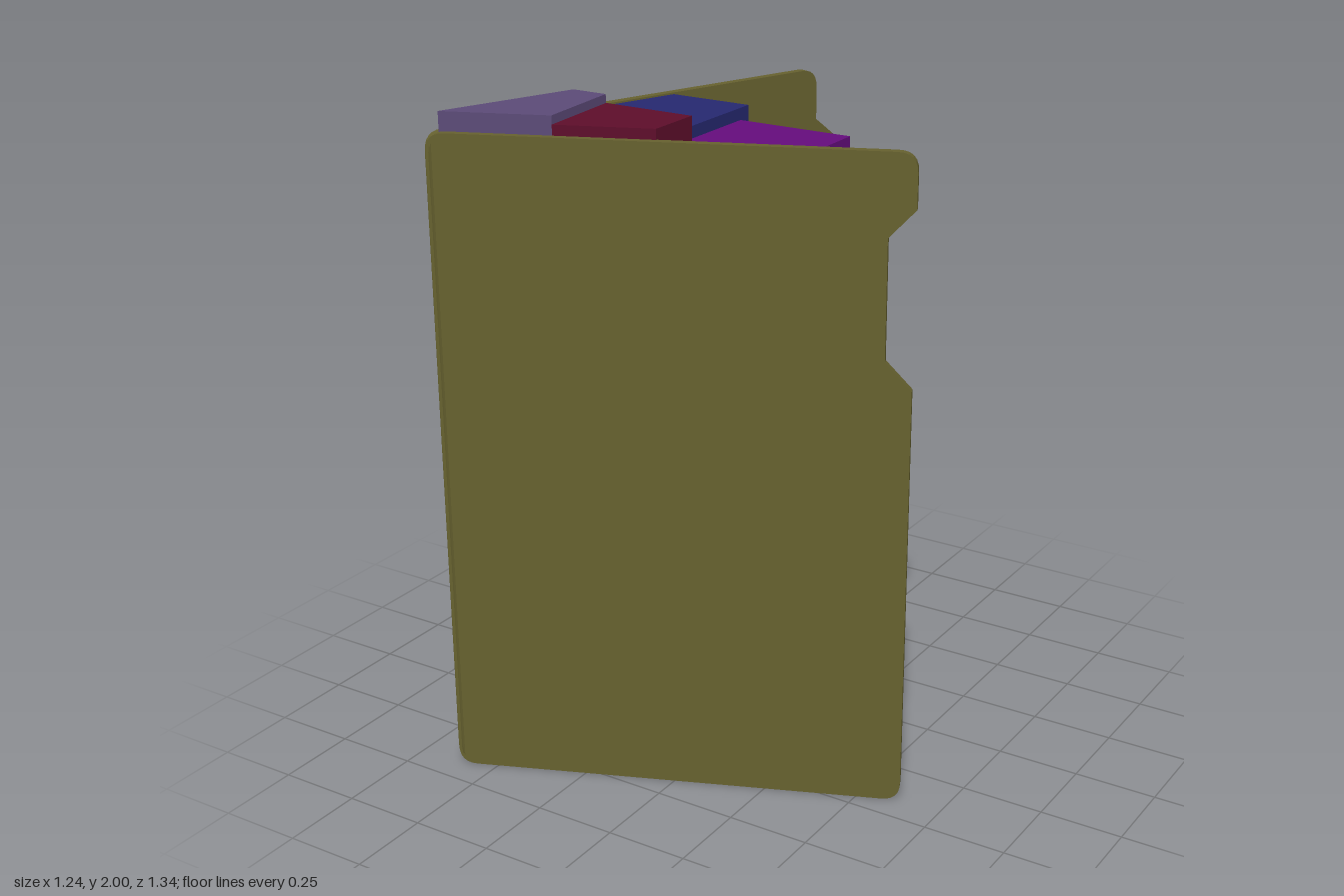
import * as THREE from 'three';

const OLIVE = 0x66612f, BLUE = 0x262870, PURPLE = 0x650d7d, RED = 0x5e0e2b, MAUVE = 0x5c4b78;
const THICK = 0.025, HEIGHT = 1.945;

// Outer line of each cover in plan: hinge end and free end as [x, z]
const frontLine = { a: [-0.61, 0.67], b: [0.62, 0.16] };
const backLine = { a: [-0.62, 0.66], b: [-0.10, -0.672] };
for (const l of [frontLine, backLine]) {
  const dx = l.b[0] - l.a[0], dz = l.b[1] - l.a[1];
  l.length = Math.hypot(dx, dz);
  l.angle = Math.atan2(-dz, dx);
}

const materials = {};
const mat = (color) => (materials[color] ??= new THREE.MeshStandardMaterial({ color, flatShading: true }));

// Cover outline: rounded board whose free edge steps by `step` between the chamfers
function coverShape(width, step, r = 0.055) {
  const s = new THREE.Shape();
  s.moveTo(r, 0);
  s.lineTo(width - r, 0);
  s.quadraticCurveTo(width, 0, width, r);
  s.lineTo(width, 1.28);
  s.lineTo(width + step, 1.36);
  s.lineTo(width + step, 1.71);
  s.lineTo(width, 1.79);
  s.lineTo(width, HEIGHT - r);
  s.quadraticCurveTo(width, HEIGHT, width - r, HEIGHT);
  s.lineTo(r, HEIGHT);
  s.quadraticCurveTo(0, HEIGHT, 0, HEIGHT - r);
  s.lineTo(0, r);
  s.quadraticCurveTo(0, 0, r, 0);
  return s;
}

function cover(name, line, width, step, zShift) {
  const geo = new THREE.ExtrudeGeometry(coverShape(width, step), { depth: THICK, bevelEnabled: false, curveSegments: 6 });
  geo.translate(0, 0, zShift);
  const mesh = new THREE.Mesh(geo, mat(OLIVE));
  mesh.position.set(line.a[0], 0, line.a[1]);
  mesh.rotation.y = line.angle;
  mesh.name = name;
  return mesh;
}

// Keep the part of a plan polygon on the inner side of a cover
function clip(poly, line, sign) {
  const nx = sign * Math.sin(line.angle), nz = sign * Math.cos(line.angle);
  const dist = (p) => (p[0] - line.a[0]) * nx + (p[1] - line.a[1]) * nz - (THICK - 0.003);
  const out = [];
  poly.forEach((p, i) => {
    const q = poly[(i + 1) % poly.length], dp = dist(p), dq = dist(q);
    if (dp >= 0) out.push(p);
    if (dp * dq < 0) {
      const t = dp / (dp - dq);
      out.push([p[0] + (q[0] - p[0]) * t, p[1] + (q[1] - p[1]) * t]);
    }
  });
  return out;
}

// Upright prism from a plan polygon trimmed to the space between the covers
function block(name, color, poly, y0, y1) {
  const pts = clip(clip(poly, frontLine, -1), backLine, 1);
  const shape = new THREE.Shape(pts.map(([x, z]) => new THREE.Vector2(x, -z)));
  const geo = new THREE.ExtrudeGeometry(shape, { depth: y1 - y0, bevelEnabled: false });
  geo.rotateX(-Math.PI / 2);
  geo.translate(0, y0, 0);
  const mesh = new THREE.Mesh(geo, mat(color));
  mesh.name = name;
  return mesh;
}

const rect = (x0, x1, z0, z1) => [[x0, z0], [x1, z0], [x1, z1], [x0, z1]];

// Blocks as [color, x0, x1, z0, z1, y0, y1]; -1 and 1 run on to the covers
const upper = [
  [BLUE, -1, -0.05, -0.08, 0.235, 1.72, 1.94],
  [PURPLE, -0.05, 0.305, -0.038, 1, 1.68, 1.905],
  [MAUVE, -1, -0.22, -0.272, -0.06, 1.58, 1.84],
  [RED, -0.22, -0.13, -0.147, -0.08, 1.79, 1.87],
  [RED, -1, -0.07, -0.06, 0.235, 1.58, 1.72],
  [PURPLE, -0.07, 0.067, 0.05, 1, 1.62, 1.68],
  [BLUE, -0.06, 0.165, 0.17, 1, 1.55, 1.68],
  [PURPLE, -1, -0.12, -0.06, 0.235, 1.31, 1.58],
  [BLUE, -1, -0.215, -0.165, -0.06, 1.47, 1.58],
  [MAUVE, -0.2, -0.08, 0.17, 0.35, 1.42, 1.58],
  [RED, -0.06, 0.094, 0.18, 1, 1.18, 1.53],
  [BLUE, -0.2, -0.1, 0.2, 0.4, 1.3, 1.4],
  [MAUVE, -0.32, -0.21, 0.13, 0.23, 1.24, 1.31],
];
const middle = [
  [PURPLE, -1, -0.22, 0.2, 1, 0.95, 1.24],
  [BLUE, -1, -0.026, 0.16, 1, 0.72, 1.1],
  [MAUVE, -0.08, 0.036, 0.13, 0.25, 0.7, 0.79],
  [RED, -0.026, 0.28, 0.16, 1, 0.69, 0.92],
  [PURPLE, -0.05, 0.278, 0.08, 1, 0.345, 0.69],
  [RED, -1, -0.167, -0.125, 0.1, 0.345, 0.69],
  [BLUE, -0.25, -0.1, 0.09, 0.3, 0.4, 0.63],
  [MAUVE, -0.17, -0.03, 0, 0.1, 0.345, 0.525],
];
const lower = [
  [RED, -0.05, 0.3, -0.035, 1, 0, 0.345],
  [RED, 0.3, 0.41, 0.033, 0.14, 0, 0.11],
  [PURPLE, -0.045, 0.165, -0.25, -0.035, 0, 0.21],
  [BLUE, -1, -0.045, -0.297, 0.11, 0, 0.345],
  [MAUVE, 0.3, 0.57, 0.14, 1, 0, 0.345],
  [BLUE, 0.278, 0.44, 0.18, 1, 0.345, 0.47],
];

export function createModel() {
  const model = new THREE.Group();
  model.name = 'openFolderWithBlocks';

  // Covers: notch on the front free edge, tab on the back one
  model.add(cover('frontCover', frontLine, frontLine.length, -0.075, -THICK));
  model.add(cover('backCover', backLine, backLine.length - 0.097, 0.097, 0));

  // Two tapered caps that rise above the covers near the hinge
  model.add(block('hingeCap', MAUVE, [[-1, 0.235], [-0.32, 0.235], [-0.297, 0.52], [-0.29, 1], [-1, 1]], 1.72, 2));
  model.add(block('frontCap', RED, [[-0.32, 0.235], [-0.035, 0.235], [-0.035, 1], [-0.26, 1], [-0.297, 0.52]], 1.72, 1.975));

  // Stacked blocks between the covers
  for (const [name, list] of Object.entries({ upperBlock: upper, middleBlock: middle, lowerBlock: lower })) {
    list.forEach(([color, x0, x1, z0, z1, y0, y1], i) =>
      model.add(block(name + (i + 1), color, rect(x0, x1, z0, z1), y0, y1)));
  }
  return model;
}
